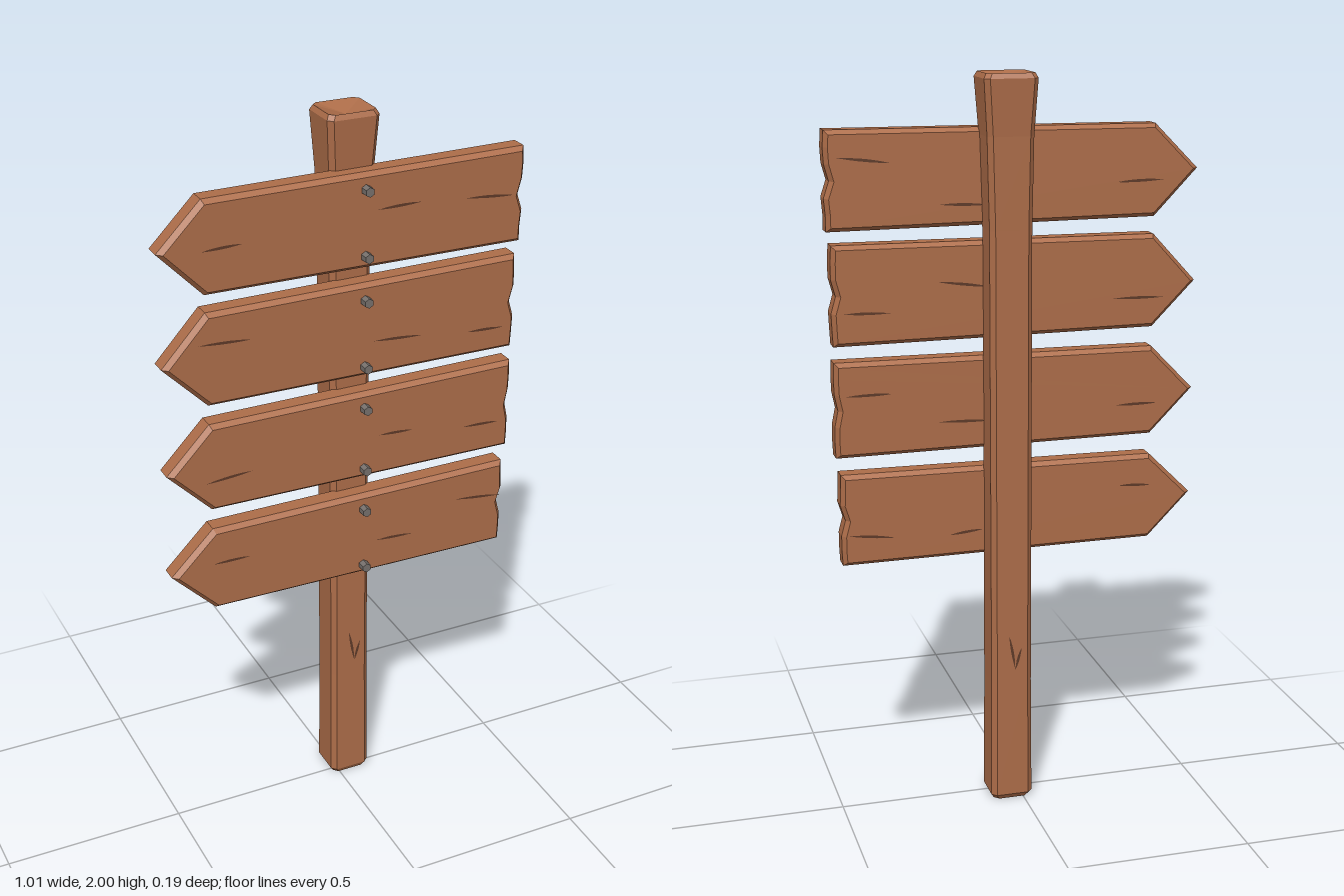
import * as THREE from 'three';

function makeMaterial(name, color) {
  const material = new THREE.MeshStandardMaterial({ color });
  material.name = name;
  material.flatShading = true;
  return material;
}
const wood = makeMaterial('wood', 0xad6d49);
const darkWood = makeMaterial('crackedWood', 0x5e3a28);
const metal = makeMaterial('boltMetal', 0x76706c);

const FRONT = 0.074, BACK = 0.002, BEVEL = 0.014;

// Small seeded generator for the wear of the wood
let seed = 7;
function random(min, max) {
  seed = (seed * 16807) % 2147483647;
  return min + (max - min) * (seed / 2147483647);
}

function addMesh(parent, name, geometry, material) {
  const mesh = new THREE.Mesh(geometry, material);
  mesh.name = name;
  parent.add(mesh);
  return mesh;
}

// Tapered, slightly bowed sliver, facing the front or the back
function addCrack(parent, x, y, length, angle, z, facesBack) {
  const w = 0.006;
  const shape = new THREE.Shape();
  shape.moveTo(-length / 2, 0);
  shape.quadraticCurveTo(0, -w, length / 2, 0);
  shape.quadraticCurveTo(0, w * 1.5, -length / 2, 0);
  const geometry = new THREE.ShapeGeometry(shape, 5).rotateZ(angle);
  if (facesBack) geometry.rotateY(Math.PI);
  addMesh(parent, 'crack', geometry, darkWood).position.set(x, y, z);
}

// Post: loft of chamfered rectangles, each [y, centre x, half width, front z, back z]
function postGeometry() {
  const rings = [
    [0, 0.033, 0.049, 0.022, -0.07],
    [0.015, 0.033, 0.058, 0.03, -0.08],
    [0.35, 0.033, 0.056, 0.027, -0.078],
    [1.6, 0.033, 0.057, 0.02, -0.079],
    [1.84, 0.035, 0.062, 0.026, -0.085],
    [1.985, 0.036, 0.071, 0.034, -0.096],
    [1.998, 0.036, 0.064, 0.027, -0.089],
  ];
  const c = 0.013, pos = [], idx = [];
  rings.forEach(([y, cx, w, zf, zb], r) => {
    const x0 = cx - w, x1 = cx + w;
    const corners = [
      [x0 + c, zf], [x1 - c, zf], [x1, zf - c], [x1, zb + c],
      [x1 - c, zb], [x0 + c, zb], [x0, zb + c], [x0, zf - c],
    ];
    corners.forEach(([x, z]) => pos.push(x, y, z));
    if (r === 0) return;
    for (let i = 0; i < 8; i++) {
      const a = (r - 1) * 8 + i, b = (r - 1) * 8 + (i + 1) % 8;
      idx.push(a, b, b + 8, a, b + 8, a + 8);
    }
  });
  // Flat bottom and a worn hollow in the top
  const base = pos.length / 3, last = base - 8;
  pos.push(0.033, 0, -0.025, 0.04, 1.978, -0.03);
  for (let i = 0; i < 8; i++) {
    const j = (i + 1) % 8;
    idx.push(base, j, i, base + 1, last + i, last + j);
  }
  const geometry = new THREE.BufferGeometry();
  geometry.setAttribute('position', new THREE.Float32BufferAttribute(pos, 3));
  geometry.setIndex(idx);
  const flat = geometry.toNonIndexed();
  flat.computeVertexNormals();
  return flat;
}

// Arrow board: point on the right-hand side of the model, ragged end opposite
function boardGeometry(y0, y1, tip, endX) {
  const shape = new THREE.Shape();
  shape.moveTo(-0.505, tip);
  shape.lineTo(-0.385, y0 + 0.006);
  shape.lineTo(endX - 0.006, y0);
  // worn end: swells near both corners and sinks in the middle
  for (let i = 1; i < 6; i++) {
    const t = i / 6;
    const wave = Math.cos(t * Math.PI * 4 + Math.PI) * 0.008;
    shape.lineTo(endX - 0.008 + wave + random(-0.002, 0.002), y0 + t * (y1 - y0));
  }
  shape.lineTo(endX - 0.006, y1);
  shape.lineTo(-0.385, y1 - 0.006);
  const geometry = new THREE.ExtrudeGeometry(shape, {
    depth: FRONT - BACK - 2 * BEVEL, bevelEnabled: true, bevelSegments: 1,
    bevelThickness: BEVEL, bevelSize: 0.011, bevelOffset: -0.011,
  });
  return geometry.translate(0, 0, BACK + BEVEL);
}

// Each board: bottom, top, height of the point, right end, two bolt heights
const boards = [
  [1.602, 1.86, 1.733, 0.505, 1.815, 1.64],
  [1.302, 1.567, 1.43, 0.494, 1.52, 1.335],
  [1.002, 1.26, 1.13, 0.495, 1.215, 1.035],
  [0.702, 0.955, 0.83, 0.484, 0.91, 0.735],
];

function createBoard([y0, y1, tip, endX, ...bolts]) {
  const sign = new THREE.Group();
  sign.name = 'arrowBoard';
  addMesh(sign, 'board', boardGeometry(y0, y1, tip, endX), wood);

  // Grain cracks near the point, the middle and the worn end on both faces
  for (const facesBack of [false, true]) {
    const z = facesBack ? BACK - 0.001 : FRONT + 0.001;
    for (const x of [-0.34, 0.14, 0.4]) {
      const y = tip + random(-0.08, 0.06);
      addCrack(sign, x, y, random(0.09, 0.15), random(-0.15, 0.1), z, facesBack);
    }
  }

  // Six-sided bolts
  for (const y of bolts) {
    const bolt = addMesh(sign, 'bolt', new THREE.CylinderGeometry(0.013, 0.014, 0.034, 6), metal);
    bolt.rotation.x = Math.PI / 2;
    bolt.position.set(0.046, y, 0.081);
  }
  return sign;
}

export function createModel() {
  seed = 7;
  const model = new THREE.Group();
  model.name = 'woodenSignpost';

  // Post with a V-shaped split low on its front and back
  const post = new THREE.Group();
  post.name = 'post';
  model.add(post);
  addMesh(post, 'postBeam', postGeometry(), wood);
  for (const facesBack of [false, true]) {
    const z = facesBack ? -0.08 : 0.029;
    addCrack(post, 0.034, 0.44, 0.1, -1.4, z, facesBack);
    addCrack(post, facesBack ? 0.016 : 0.052, 0.42, 0.065, 1.3, z, facesBack);
  }

  for (const board of boards) model.add(createBoard(board));
  return model;
}
